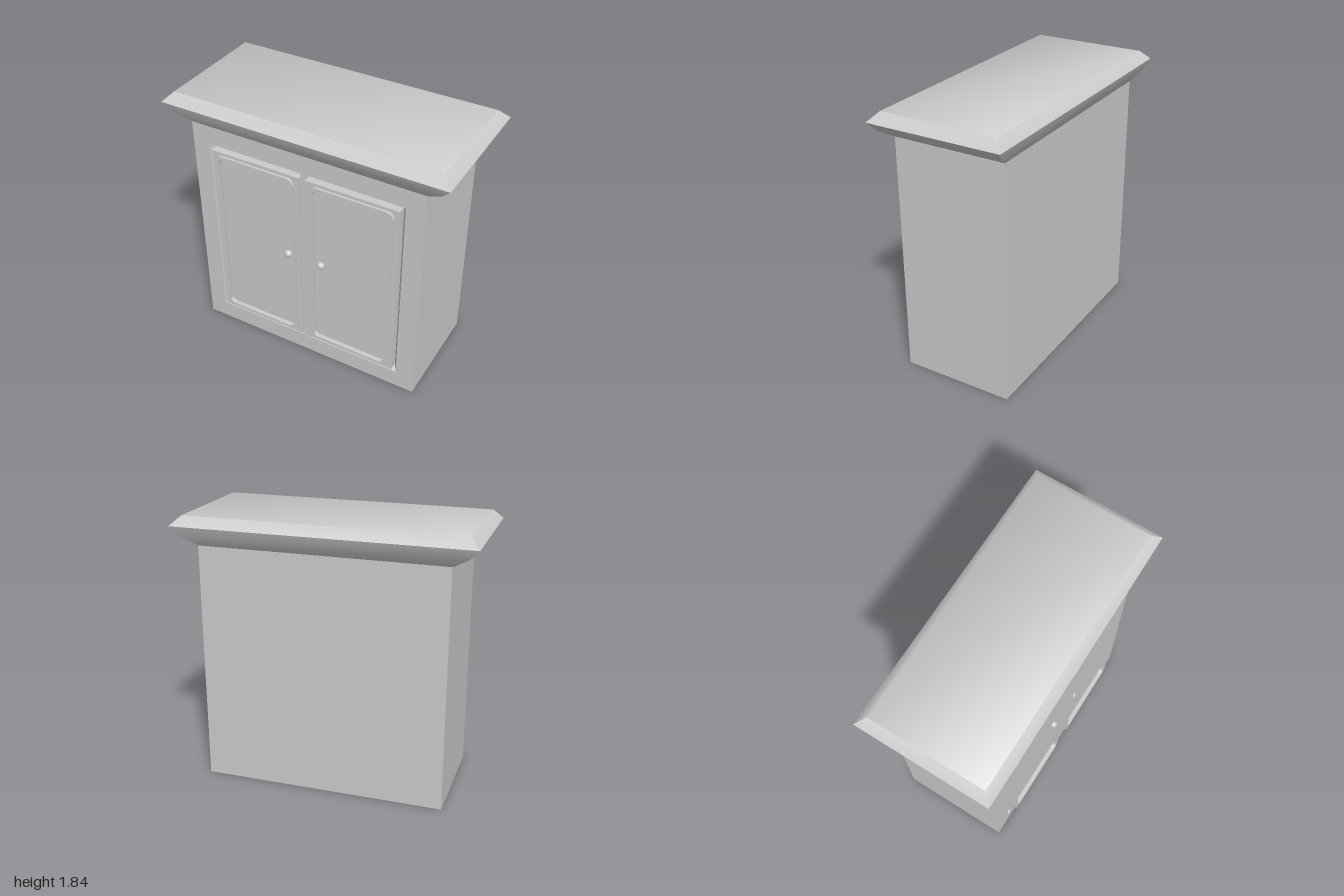
import * as THREE from 'three';
import { toCreasedNormals } from 'three/addons/utils/BufferGeometryUtils.js';

const material = new THREE.MeshStandardMaterial({ color: 0xcccccc });

function add(parent, name, geometry, x = 0, y = 0, z = 0) {
  const mesh = new THREE.Mesh(geometry, material);
  mesh.name = name;
  mesh.position.set(x, y, z);
  parent.add(mesh);
  return mesh;
}

// Skin between four-cornered rings, closed at the last ring
function loft(rings) {
  const index = [];
  for (let r = 0; r < rings.length - 1; r++) {
    for (let i = 0; i < 4; i++) {
      const a = r * 4 + i, b = r * 4 + (i + 1) % 4;
      index.push(a, b, b + 4, a, b + 4, a + 4);
    }
  }
  const t = (rings.length - 1) * 4;
  index.push(t, t + 1, t + 2, t, t + 2, t + 3);
  const geometry = new THREE.BufferGeometry();
  geometry.setAttribute('position', new THREE.Float32BufferAttribute(rings.flat(2), 3));
  geometry.setIndex(index);
  return toCreasedNormals(geometry, 0.9);
}

// Rectangle outline with optional rounded corners
function outline(path, x0, y0, x1, y1, r = 0) {
  if (r === 0) {
    path.moveTo(x0, y0).lineTo(x1, y0).lineTo(x1, y1).lineTo(x0, y1).closePath();
    return path;
  }
  path.moveTo(x0 + r, y0);
  path.absarc(x1 - r, y0 + r, r, -Math.PI / 2, 0);
  path.absarc(x1 - r, y1 - r, r, 0, Math.PI / 2);
  path.absarc(x0 + r, y1 - r, r, Math.PI / 2, Math.PI);
  path.absarc(x0 + r, y0 + r, r, Math.PI, Math.PI * 1.5);
  return path;
}

const slab = (shape, depth) =>
  new THREE.ExtrudeGeometry(shape, { depth, bevelEnabled: false, curveSegments: 8 });

const W = 0.832, D = 0.385, H = 1.65;  // carcass half width, half depth, height
const FLOOR = 0.345;                   // back of the door recesses
const X0 = 0.022, X1 = 0.702, Y0 = 0.13, Y1 = 1.517, SLOPE = 0.027;

// Opening of one door: s is +1 for the left door, -1 for the right
function span(s, a, b) {
  return s > 0 ? [a, b] : [-b, -a];
}

function addDoor(parent, s) {
  const door = new THREE.Group();
  door.name = s > 0 ? 'leftDoor' : 'rightDoor';
  parent.add(door);

  // Recess with sloping sides, upright at the middle post
  const ring = (a, b, y0, y1, z) => {
    const [l, r] = span(s, a, b);
    return [[r, y0, z], [r, y1, z], [l, y1, z], [l, y0, z]];
  };
  add(door, 'doorRecess', loft([
    ring(X0, X1, Y0, Y1, D),
    ring(X0, X1 - SLOPE, Y0 + SLOPE, Y1 - SLOPE, FLOOR),
  ]));

  // Door leaf around a sunken panel
  const [l, r] = span(s, X0, X1 - SLOPE);
  const leaf = outline(new THREE.Shape(), l, Y0 + SLOPE, r, Y1 - SLOPE);
  const [bl, br] = span(s, 0.058, 0.645);
  const inner = () => outline(new THREE.Path(), bl + 0.022, 0.202, br - 0.022, 1.447, 0.035);
  leaf.holes.push(inner());
  add(door, 'doorFrame', slab(leaf, 0.403 - FLOOR), 0, 0, FLOOR);
  add(door, 'doorPanel', new THREE.BoxGeometry(br - bl - 0.02, 1.27, 0.04),
    (bl + br) / 2, 0.8245, 0.37);

  // Raised moulding with rounded corners
  const bead = outline(new THREE.Shape(), bl, 0.18, br, 1.469, 0.05);
  bead.holes.push(inner());
  add(door, 'doorMoulding', slab(bead, 0.02), 0, 0, 0.4);

  add(door, 'doorKnob', new THREE.SphereGeometry(0.028, 24, 16), s * 0.125, 0.84, 0.393);
}

export function createModel() {
  const group = new THREE.Group();
  const cabinet = new THREE.Group();
  cabinet.name = 'cabinet';
  cabinet.position.x = 0.003;
  group.add(cabinet);

  // Carcass behind a face frame with two openings
  add(cabinet, 'carcass', new THREE.BoxGeometry(2 * W, H, D + FLOOR - 0.01),
    0, H / 2, (FLOOR - 0.01 - D) / 2);
  const face = outline(new THREE.Shape(), -W, 0, W, H);
  for (const s of [1, -1]) {
    const [l, r] = span(s, X0, X1);
    face.holes.push(outline(new THREE.Path(), l, Y0, r, Y1));
  }
  add(cabinet, 'faceFrame', slab(face, D - FLOOR + 0.01), 0, 0, FLOOR - 0.01);
  for (const s of [1, -1]) addDoor(cabinet, s);

  // Flared cornice: half width, half depth, height of each ring
  const cornice = [
    [W, D, H], [0.94, 0.433, 1.715], [1, 0.46, 1.78], [0.935, 0.4, 1.843],
  ].map(([w, d, y]) => [[w, y, d], [w, y, -d], [-w, y, -d], [-w, y, d]]);
  add(group, 'cornice', loft(cornice));

  return group;
}
